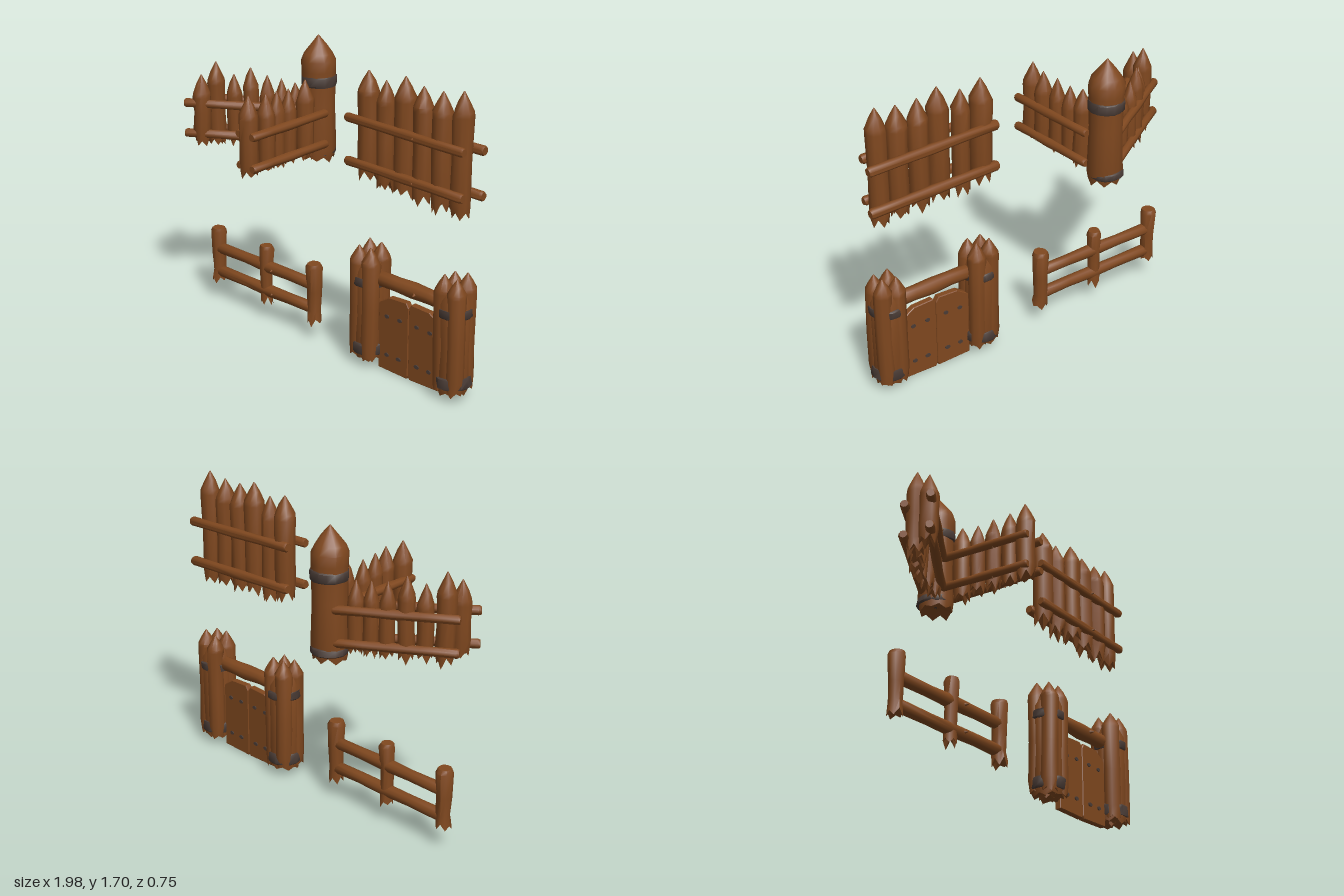
import * as THREE from 'three';
import { toCreasedNormals } from 'three/addons/utils/BufferGeometryUtils.js';

const wood = new THREE.MeshStandardMaterial({ color: 0x80481f });
wood.name = 'brown wood';
const iron = new THREE.MeshStandardMaterial({ color: 0x4a3c36 });
iron.name = 'dark iron';

// Seeded noise in -1..1
let seed = 7;
const rnd = () => {
  seed = (seed * 16807) % 2147483647;
  return (seed / 2147483647) * 2 - 1;
};

// Closed trunk from [height, radius] rings; the bottom ring may be splintered
function trunk(profile, sides, { rag = 0, wobble = 0.05 } = {}) {
  const pos = [], idx = [];
  profile.forEach(([y, r], i) => {
    const ox = rnd() * r * wobble, oz = rnd() * r * wobble;
    for (let j = 0; j < sides; j++) {
      const a = (j / sides) * Math.PI * 2;
      const rr = r * (1 + rnd() * wobble);
      const tooth = i === 0 ? rag * (j % 2 ? 0.6 + rnd() * 0.4 : -0.5 + rnd() * 0.5) : 0;
      pos.push(Math.cos(a) * rr + ox, y + tooth, Math.sin(a) * rr + oz);
    }
  });
  const top = (profile.length - 1) * sides;
  const low = pos.length / 3, high = low + 1;
  pos.push(0, profile[0][0] + rag * 1.2, 0, 0, profile.at(-1)[0], 0);
  for (let j = 0; j < sides; j++) {
    const k = (j + 1) % sides;
    for (let i = 0; i < top; i += sides) {
      const a = i + j, b = i + k, c = a + sides, d = b + sides;
      idx.push(a, c, b, b, c, d);
    }
    idx.push(low, j, k, high, top + k, top + j);
  }
  const g = new THREE.BufferGeometry();
  g.setAttribute('position', new THREE.Float32BufferAttribute(pos, 3));
  g.setIndex(idx);
  return toCreasedNormals(g, 0.85);
}

function add(parent, name, geo, mat, x = 0, y = 0, z = 0) {
  const m = new THREE.Mesh(geo, mat);
  m.name = name;
  m.position.set(x, y, z);
  parent.add(m);
  return m;
}

// Pointed stake standing from y0 to the tip at y1
function stake(parent, x, z, y0, y1, r, rag = 0.035, point = 0.13) {
  const h = y1 - y0;
  const m = add(parent, 'stake', trunk([
    [0, r * 0.85], [0.07, r * 0.98], [h * 0.45, r * 0.95], [h - point, r],
    [h - point * 0.8, r * 0.95], [h - point * 0.4, r * 0.55], [h, r * 0.05],
  ], 10, { rag }), wood, x, y0, z);
  m.rotation.y = rnd() * 3;
}

// Round rail with blunt ends and a knot, running from a to b
function rail(parent, a, b, r, name = 'rail') {
  const p = new THREE.Vector3(...a), q = new THREE.Vector3(...b);
  const dir = q.clone().sub(p), len = dir.length();
  const m = add(parent, name, trunk([
    [0, r * 0.8], [0.012, r], [len * 0.3, r * 0.93], [len * 0.52, r * 1.06],
    [len * 0.75, r * 0.94], [len - 0.012, r], [len, r * 0.8],
  ], 10), wood, ...a);
  m.quaternion.setFromUnitVectors(new THREE.Vector3(0, 1, 0), dir.normalize());
  add(m, 'knot', new THREE.ConeGeometry(r * 0.45, r * 1.1, 6), wood, 0, len * 0.6, r).rotation.x = 1.2;
}

// Iron hoop around a post
function band(parent, x, y, z, r, h) {
  add(parent, 'ironBand', trunk([
    [-h / 2, r * 0.95], [-h / 2 + 0.008, r], [h / 2 - 0.008, r], [h / 2, r * 0.95],
  ], 14, { wobble: 0.025 }), iron, x, y, z);
}

function cornerWall() {
  const g = new THREE.Group();
  g.name = 'cornerPalisade';
  // Tower post
  add(g, 'cornerPost', trunk([
    [0.99, 0.09], [1.05, 0.1], [1.3, 0.093], [1.5, 0.097], [1.56, 0.1],
    [1.6, 0.082], [1.65, 0.045], [1.7, 0.004],
  ], 14, { rag: 0.025, wobble: 0.03 }), wood, -0.365, 0, -0.268);
  band(g, -0.365, 1.445, -0.268, 0.101, 0.06);
  band(g, -0.367, 1.04, -0.272, 0.1, 0.045);
  // Slanted arm: x, z, tip, radius
  [[-0.9, 0.14, 1.45, 0.052], [-0.885, 0.04, 1.51, 0.052], [-0.8, -0.02, 1.44, 0.045],
    [-0.73, -0.085, 1.48, 0.047], [-0.645, -0.135, 1.44, 0.043], [-0.56, -0.165, 1.43, 0.043],
    [-0.475, -0.19, 1.42, 0.045],
  ].forEach(([x, z, tip, r]) => stake(g, x, z, 1.045 + rnd() * 0.015, tip, r));
  // Forward arm
  [[-0.325, -0.12, 1.48, 0.052], [-0.335, 0, 1.45, 0.045], [-0.325, 0.1, 1.46, 0.045],
    [-0.305, 0.2, 1.47, 0.05], [-0.32, 0.315, 1.48, 0.055],
  ].forEach(([x, z, tip, r]) => stake(g, x, z, 1.04 + rnd() * 0.015, tip, r));
  for (const y of [1.275, 1.095]) {
    rail(g, [-0.97, y + 0.01, 0.21], [-0.42, y, -0.18], 0.026);
    rail(g, [-0.98, y + 0.005, 0.04], [-0.42, y, -0.31], 0.026);
    rail(g, [-0.41, y, -0.19], [-0.355, y - 0.005, 0.36], 0.024);
    rail(g, [-0.27, y, -0.23], [-0.245, y - 0.005, 0.365], 0.025);
  }
  return g;
}

function straightWall() {
  const g = new THREE.Group();
  g.name = 'straightPalisade';
  // x, bottom, tip, radius
  [[0.262, 1.1, 1.67, 0.062], [0.387, 1.06, 1.64, 0.052], [0.525, 1.07, 1.69, 0.06],
    [0.645, 1.06, 1.66, 0.058], [0.772, 1.05, 1.66, 0.058], [0.897, 1.03, 1.685, 0.056],
  ].forEach(([x, y0, y1, r]) => stake(g, x, rnd() * 0.006, y0, y1, r, 0.045));
  for (const y of [1.405, 1.165]) {
    rail(g, [0.16, y + 0.005, 0.055], [0.955, y - 0.015, 0.053], 0.026);
    rail(g, [0.19, y - 0.005, -0.052], [0.99, y - 0.025, -0.068], 0.028);
  }
  return g;
}

function lowFence() {
  const g = new THREE.Group();
  g.name = 'lowFence';
  [[-0.948, 0.13, 0.045], [-0.533, 0.12, 0.04], [-0.14, 0.11, 0.046]].forEach(([x, y0, r]) =>
    add(g, 'fencePost', trunk([
      [y0, r * 0.95], [y0 + 0.07, r * 0.85], [0.3, r * 0.9], [0.445, r * 1.05], [0.467, r * 0.85],
    ], 10, { rag: 0.035, wobble: 0.07 }), wood, x, 0, 0));
  rail(g, [-0.95, 0.338, 0], [-0.13, 0.335, 0], 0.034);
  rail(g, [-0.95, 0.187, 0], [-0.13, 0.185, 0], 0.034);
  return g;
}

function gate() {
  const g = new THREE.Group();
  g.name = 'gate';
  for (const x of [0.288, 0.887]) {
    // Round post crowned by four spikes
    add(g, 'gatePost', trunk([
      [0.05, 0.082], [0.09, 0.09], [0.3, 0.088], [0.56, 0.092], [0.62, 0.07],
    ], 14, { rag: 0.022, wobble: 0.03 }), wood, x, 0, 0);
    for (const sx of [-1, 1]) for (const sz of [-1, 1]) {
      stake(g, x + sx * 0.042, sz * 0.042, 0.06, 0.71 + rnd() * 0.01, 0.053, 0.02, 0.1);
    }
    band(g, x, 0.508, 0, 0.1, 0.05);
    band(g, x, 0.113, 0, 0.1, 0.065);
  }
  rail(g, [0.34, 0.53, 0], [0.84, 0.525, 0], 0.043, 'crossBeam');

  // Two mirrored door leaves with clipped corners
  for (const s of [-1, 1]) {
    const leaf = new THREE.Shape([
      [0.005, 0.02], [0.012, 0.005], [0.21, 0.01], [0.21, 0.39], [0.195, 0.405],
      [0.14, 0.44], [0.02, 0.445], [0.005, 0.42],
    ].map(([x, y]) => new THREE.Vector2(s * x, y)));
    add(g, 'doorLeaf', new THREE.ExtrudeGeometry(leaf, {
      depth: 0.03, bevelThickness: 0.004, bevelSize: 0.004, bevelSegments: 1,
    }), wood, 0.585, 0, -0.015);
    // Studs on both faces
    for (const [x, y, w] of [[0.06, 0.333, 0.03], [0.152, 0.33, 0.03], [0.065, 0.1, 0.034], [0.15, 0.1, 0.03]]) {
      for (const z of [-0.021, 0.021]) {
        const stud = add(g, 'doorStud', new THREE.CylinderGeometry(0.5, 0.5, 0.008, 8), iron, 0.585 + s * x, y, z);
        stud.rotation.x = Math.PI / 2;
        stud.scale.set(w, 1, 0.022);
      }
    }
  }
  return g;
}

export function createModel() {
  seed = 7;
  const model = new THREE.Group();
  model.name = 'palisadeSet';
  model.add(cornerWall(), straightWall(), lowFence(), gate());
  return model;
}
